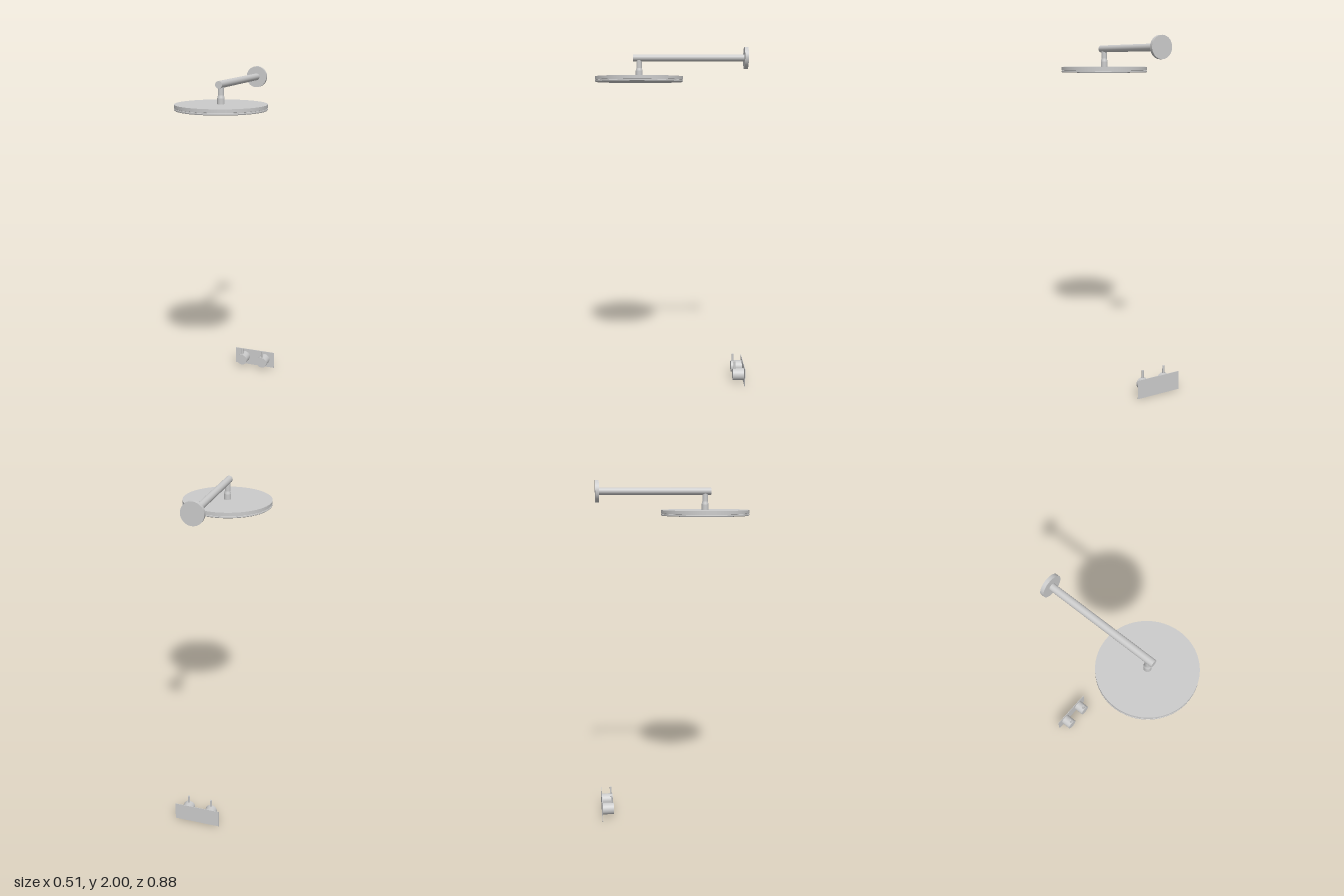
import * as THREE from 'three';

const material = new THREE.MeshStandardMaterial({ color: 0xcccccc });
const V = (x, y) => new THREE.Vector2(x, y);

export function createModel() {
  const model = new THREE.Group();

  function add(name, geometry, x, y, z, parent = model) {
    const mesh = new THREE.Mesh(geometry, material);
    mesh.name = name;
    mesh.position.set(x, y, z);
    parent.add(mesh);
    return mesh;
  }
  // Cylinder lying along z, from z0 to z1
  function rod(name, r, x, y, z0, z1, parent) {
    const g = new THREE.CylinderGeometry(r, r, z1 - z0, 48).rotateX(Math.PI / 2);
    return add(name, g, x, y, (z0 + z1) / 2, parent);
  }
  // Lathe with sharp corners: each profile segment is its own surface
  function turned(name, profile, x, y, z, segments) {
    const group = new THREE.Group();
    group.name = name;
    group.position.set(x, y, z);
    model.add(group);
    for (let i = 0; i < profile.length - 1; i++) {
      add(name + 'Surface', new THREE.LatheGeometry([profile[i], profile[i + 1]], segments), 0, 0, 0, group);
    }
  }

  // Wall flange and horizontal arm
  const armY = 1.9375;
  rod('wallFlange', 0.0625, 0, armY, -0.441, -0.42);
  rod('showerArm', 0.02, 0, armY, -0.421, 0.22);

  // Drop pipe with a wider collar at its foot
  const headZ = 0.186;
  turned('dropPipe', [
    V(0.02, 0), V(0.02, 0.035), V(0.016, 0.05), V(0.016, 0.1),
  ], 0, 1.83, headZ, 40);

  // Round head with a fine groove in the rim
  turned('showerHead', [
    V(0, 0), V(0.25, 0), V(0.254, 0.003), V(0.254, 0.009), V(0.251, 0.01),
    V(0.251, 0.013), V(0.254, 0.014), V(0.254, 0.032), V(0, 0.032),
  ], 0, 1.801, headZ, 96);

  // Control plate with two lever knobs
  add('controlPlate', new THREE.BoxGeometry(0.274, 0.11, 0.003), 0, 0.055, -0.4395);
  for (const side of [-1, 1]) {
    const knob = new THREE.Group();
    knob.name = side > 0 ? 'leftKnob' : 'rightKnob';
    knob.position.set(side * 0.07, 0.057, 0);
    model.add(knob);
    rod('knobBody', 0.035, 0, 0, -0.439, -0.371, knob);
    add('knobLever', new THREE.CylinderGeometry(0.006, 0.006, 0.06, 20), 0, 0.05, -0.382, knob);
  }
  return model;
}
